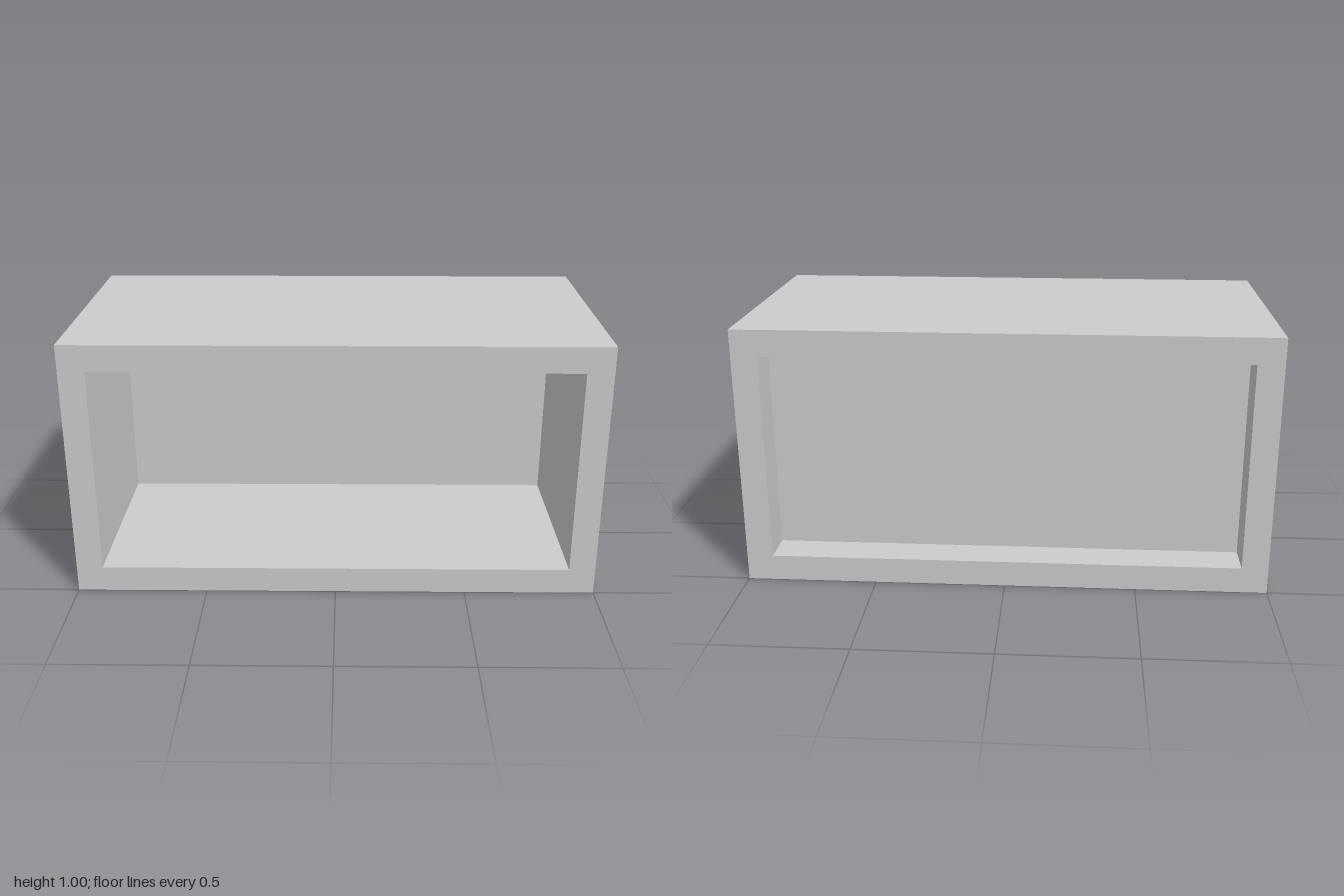
import * as THREE from 'three';

const WIDTH = 2, HEIGHT = 1, DEPTH = 1, WALL = 0.1;

// Axis-aligned rectangle outline, centred on the origin
function rectangle(PathType, w, h) {
  const path = new PathType();
  path.moveTo(-w / 2, -h / 2);
  path.lineTo(w / 2, -h / 2);
  path.lineTo(w / 2, h / 2);
  path.lineTo(-w / 2, h / 2);
  path.closePath();
  return path;
}

export function createModel() {
  const group = new THREE.Group();
  group.name = 'openBoxShelf';
  const material = new THREE.MeshStandardMaterial({ color: 0xcccccc });
  const innerWidth = WIDTH - 2 * WALL, innerHeight = HEIGHT - 2 * WALL;

  // Four walls as one rectangular tube, open at front and back
  const outline = rectangle(THREE.Shape, WIDTH, HEIGHT);
  outline.holes.push(rectangle(THREE.Path, innerWidth, innerHeight));
  const frameGeometry = new THREE.ExtrudeGeometry(outline, { depth: DEPTH, bevelEnabled: false });
  frameGeometry.translate(0, HEIGHT / 2, -DEPTH / 2);
  const frame = new THREE.Mesh(frameGeometry, material);
  frame.name = 'outerFrame';
  group.add(frame);

  // Back panel, set in from the rear opening
  const panel = new THREE.Mesh(new THREE.BoxGeometry(innerWidth, innerHeight, 0.1), material);
  panel.name = 'backPanel';
  panel.position.set(0, HEIGHT / 2, -0.31);
  group.add(panel);

  return group;
}
